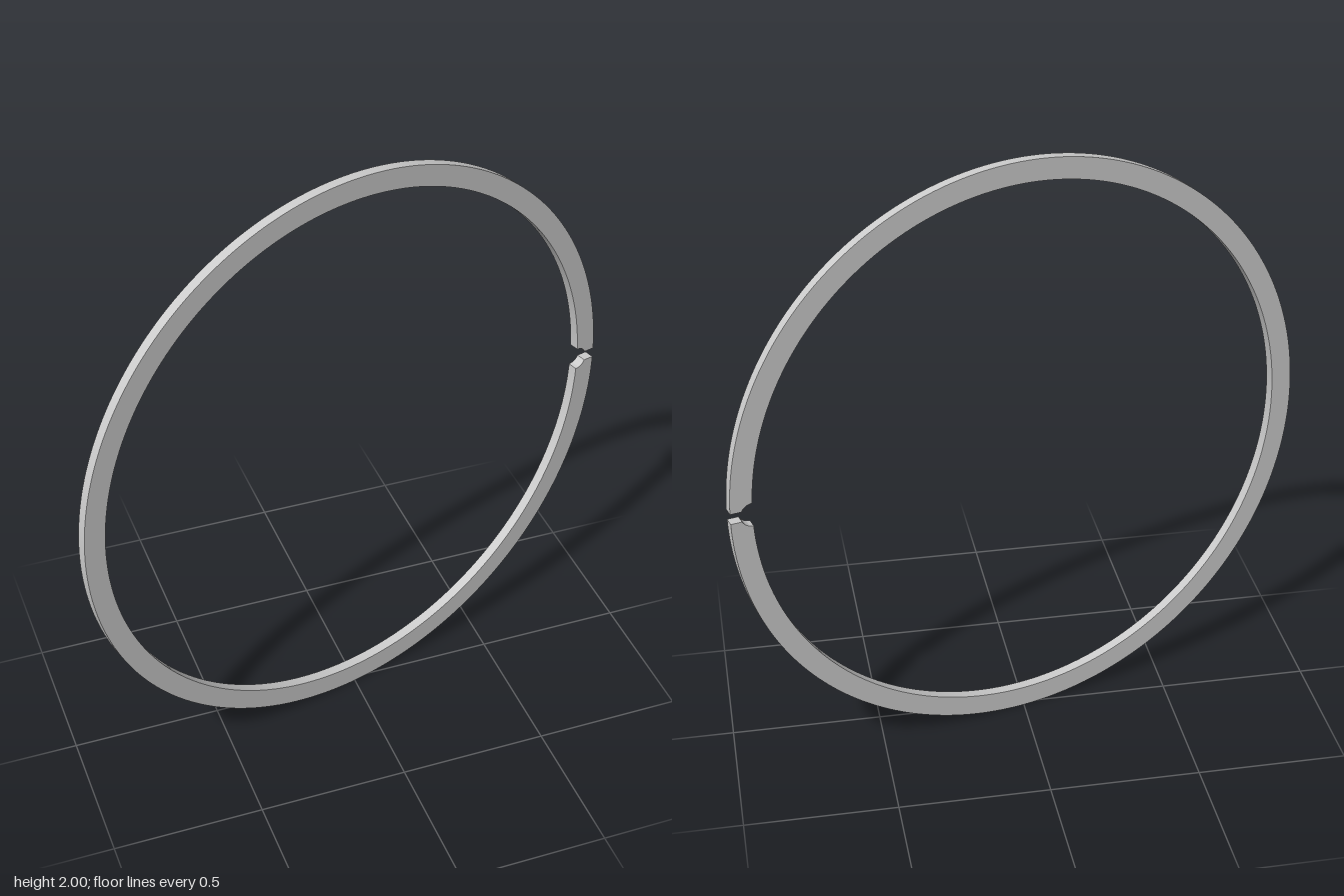
import * as THREE from 'three';
import { toCreasedNormals } from 'three/addons/utils/BufferGeometryUtils.js';

const OUTER = 1, INNER = 0.928, THICK = 0.036;
const GAP = 0.0175;   // half the slit between the two ends
const NOTCH = 0.04;   // radius of the round relief at the inner end corners

export function createModel() {
  const group = new THREE.Group();
  group.name = 'splitRing';

  // Split ring profile, slit at +x
  const outerStart = Math.asin(GAP / OUTER);
  const innerStart = Math.asin(NOTCH / INNER);
  const notchStart = Math.asin(GAP / NOTCH);
  const notchX = INNER * Math.cos(innerStart);

  const shape = new THREE.Shape();
  shape.absarc(0, 0, OUTER, outerStart, 2 * Math.PI - outerStart, false);
  shape.absarc(notchX, 0, NOTCH, -notchStart, -Math.PI / 2, true);
  shape.absarc(0, 0, INNER, 2 * Math.PI - innerStart, innerStart, true);
  shape.absarc(notchX, 0, NOTCH, Math.PI / 2, notchStart, true);
  shape.closePath();

  const geometry = new THREE.ExtrudeGeometry(shape, {
    depth: THICK, bevelEnabled: false, curveSegments: 128,
  });
  geometry.translate(0, 0, -THICK / 2);

  const ring = new THREE.Mesh(
    toCreasedNormals(geometry, Math.PI / 6),
    new THREE.MeshStandardMaterial({ color: 0xcccccc }),
  );
  ring.name = 'ring';
  // Stands upright, turned slightly about the vertical
  ring.position.y = OUTER;
  ring.rotation.y = THREE.MathUtils.degToRad(15);
  group.add(ring);
  return group;
}
